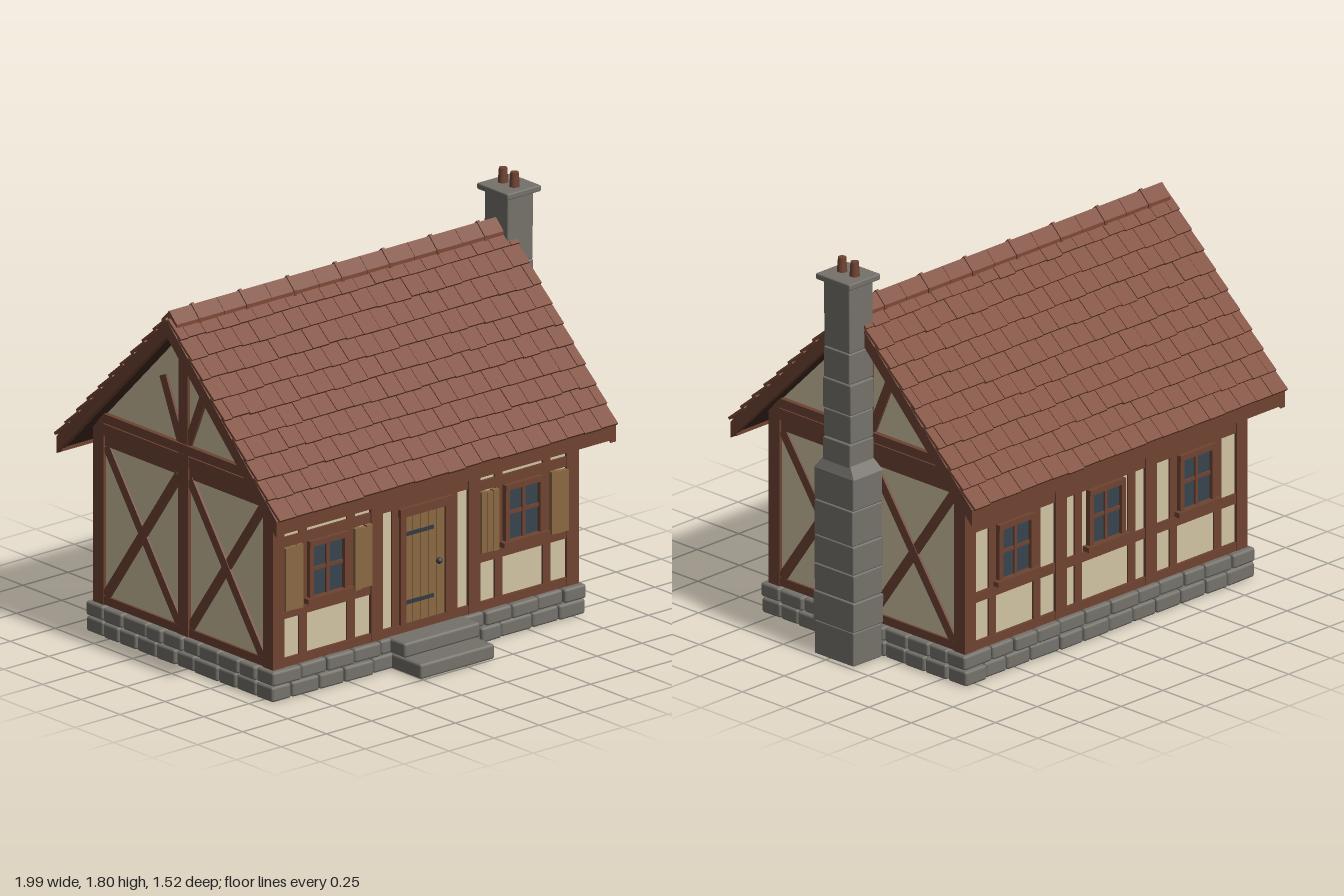
import * as THREE from 'three';
import { mergeGeometries } from 'three/addons/utils/BufferGeometryUtils.js';
import { RoundedBoxGeometry } from 'three/addons/geometries/RoundedBoxGeometry.js';

const mat = (name, color) => Object.assign(new THREE.MeshStandardMaterial({ color }), { name });
const M = {
  plaster: mat('cream plaster', 0xd2c4a2), timber: mat('red brown timber', 0x6f4332),
  tile: mat('roof tile', 0x7d4a37), deck: mat('dark roof deck', 0x432a20),
  stone: mat('grey stone', 0x75726b), glass: mat('window glass', 0x36444d),
  plank: mat('plank wood', 0x8a6842), iron: mat('dark iron', 0x343a3f),
  floor: mat('floor boards', 0x5c4229),
};
const HX = 0.848, HZ = 0.58;          // half size of the timber frame
const EAVE = 0.711, RIDGE = 1.565;    // roof half depth and apex, 45 degree pitch
const ROOF = 0.94;                    // roof half length

let seed = 7;
const rnd = (a) => { seed = (seed * 16807) % 2147483647; return (seed / 2147483647 - 0.5) * 2 * a; };

function add(parent, name, geometry, material) {
  const m = new THREE.Mesh(geometry, material);
  m.name = name;
  parent.add(m);
  return m;
}
function group(parent, name) {
  const g = new THREE.Group();
  g.name = name;
  parent.add(g);
  return g;
}
// Box given by its extents
function box(parent, name, material, x0, x1, y0, y1, z0, z1) {
  const m = add(parent, name, new THREE.BoxGeometry(x1 - x0, y1 - y0, z1 - z0), material);
  m.position.set((x0 + x1) / 2, (y0 + y1) / 2, (z0 + z1) / 2);
  return m;
}
function stone(x0, x1, y0, y1, z0, z1, tilt = 0, r = 0.012) {
  return new RoundedBoxGeometry(x1 - x0, y1 - y0, z1 - z0, 1, r)
    .rotateZ(rnd(tilt)).rotateX(rnd(tilt))
    .translate((x0 + x1) / 2, (y0 + y1) / 2, (z0 + z1) / 2);
}
// Slanted timber on a wall face
function brace(parent, x1, y1, x2, y2, w, z0, z1) {
  const len = Math.hypot(x2 - x1, y2 - y1);
  const m = add(parent, 'brace', new THREE.BoxGeometry(w, len, z1 - z0), M.timber);
  m.position.set((x1 + x2) / 2, (y1 + y2) / 2, (z0 + z1) / 2);
  m.rotation.z = -Math.atan2(x2 - x1, y2 - y1);
}
// Profile in (z, y) extruded along x between x0 and x1
function alongX(points, x0, x1) {
  const shape = new THREE.Shape(points.map(([z, y]) => new THREE.Vector2(-z, y)));
  return new THREE.ExtrudeGeometry(shape, { depth: x1 - x0, bevelEnabled: false })
    .rotateY(Math.PI / 2).translate(x0, 0, 0);
}
const chevron = (apex, half, t) => [[-half, apex - half], [0, apex], [half, apex - half],
  [half, apex - half - t], [0, apex - t], [-half, apex - half - t]];

function addWindow(wall, x, shutters) {
  const w = group(wall, 'window');
  w.position.x = x;
  box(w, 'glass', M.glass, -0.09, 0.09, 0.42, 0.66, 0.56, 0.57);
  for (const s of [-1, 1]) box(w, 'frameSide', M.timber, s * 0.096 - 0.011, s * 0.096 + 0.011, 0.41, 0.67, 0.55, 0.59);
  box(w, 'frameTop', M.timber, -0.107, 0.107, 0.645, 0.67, 0.55, 0.592);
  box(w, 'sill', M.timber, -0.128, 0.128, 0.398, 0.42, 0.55, 0.603);
  box(w, 'mullion', M.timber, -0.008, 0.008, 0.42, 0.65, 0.56, 0.58);
  box(w, 'glazingBar', M.timber, -0.09, 0.09, 0.532, 0.547, 0.56, 0.578);
  if (!shutters) return;
  for (const s of [-1, 1]) for (let i = 0; i < 3; i++) {
    const c = s * (0.16 + i * 0.033);
    box(w, 'shutterPlank', M.plank, c - 0.0155, c + 0.0155, 0.393 + rnd(0.006), 0.667 + rnd(0.006), 0.565, 0.59 + rnd(0.003));
  }
}

// Long wall facing local +z, with a door or a third window in the middle
function addLongWall(house, name, front) {
  const wall = group(house, name);
  const post = (x, w, y0, y1, z) => box(wall, 'post', M.timber, x - w / 2, x + w / 2, y0, y1, 0.54, z);
  const rail = (x0, x1, y0, y1) => box(wall, 'rail', M.timber, x0, x1, y0, y1, 0.54, 0.575);
  box(wall, 'sillBeam', M.timber, -0.8, 0.8, 0.137, 0.177, 0.54, 0.577);
  box(wall, 'topPlate', M.timber, -0.8, 0.8, 0.83, 0.9, 0.54, 0.577);
  for (const s of [-1, 1]) {
    post(s * 0.27, 0.065, 0.14, 0.9, 0.58);
    for (const d of [-0.133, 0.133]) post(s * 0.543 + d, 0.043, 0.17, 0.85, 0.573);
    post(s * 0.16, 0.043, 0.17, 0.85, 0.573);
    const [a, b] = s < 0 ? [-0.79, -0.3] : [0.3, 0.79];
    rail(a, b, 0.352, 0.396);
    rail(a, b, 0.672, 0.716);
    addWindow(wall, s * 0.543, front);
  }
  if (!front) {
    rail(-0.24, 0.24, 0.352, 0.396);
    rail(-0.24, 0.24, 0.672, 0.716);
    addWindow(wall, 0, false);
    return wall;
  }
  rail(-0.24, 0.24, 0.697, 0.74);
  const door = group(wall, 'door');
  for (let i = 0; i < 5; i++) {
    const x = -0.11 + i * 0.044;
    box(door, 'doorPlank', M.plank, x + 0.001, x + 0.043, 0.177, 0.66, 0.55, 0.572 + rnd(0.002));
  }
  for (const s of [-1, 1]) box(door, 'doorJamb', M.timber, s * 0.126 - 0.016, s * 0.126 + 0.016, 0.177, 0.66, 0.55, 0.583);
  box(door, 'doorHead', M.timber, -0.148, 0.148, 0.657, 0.695, 0.55, 0.59);
  for (const y of [0.27, 0.575]) box(door, 'hinge', M.iron, -0.107, 0.045, y - 0.008, y + 0.008, 0.57, 0.579);
  add(door, 'knob', new THREE.SphereGeometry(0.014, 10, 8), M.iron).position.set(0.07, 0.42, 0.585);
  return wall;
}

// Gable wall facing local +z
function addGable(house, name) {
  const g = group(house, name), f = HX;
  const beam = (n, half, y0, y1, z) => box(g, n, M.timber, -half, half, y0, y1, 0.81, z);
  beam('sillBeam', 0.53, 0.14, 0.178, f - 0.004);
  beam('lowerBeam', 0.51, 0.848, 0.893, f - 0.006);
  beam('middleBeam', 0.54, 0.895, 0.945, f - 0.002);
  beam('tieBeam', 0.555, 0.955, 0.996, f + 0.008);
  box(g, 'centrePost', M.timber, -0.033, 0.033, 0.14, 0.95, 0.81, f);
  box(g, 'kingPost', M.timber, -0.028, 0.028, 0.99, 1.49, 0.81, f);
  for (const s of [-1, 1]) {
    brace(g, s * 0.035, 0.18, s * 0.505, 0.845, 0.043, 0.82, f - 0.006);
    brace(g, s * 0.035, 0.845, s * 0.505, 0.18, 0.043, 0.82, f - 0.003);
    brace(g, s * 0.02, 0.99, s * 0.138, 1.265, 0.043, 0.82, f - 0.004);
  }
  return g;
}

function addRoof(house) {
  const roof = group(house, 'roof');
  add(roof, 'roofDeck', alongX(chevron(RIDGE, EAVE - 0.012, 0.066), -ROOF + 0.02, ROOF - 0.02), M.deck);
  for (const s of [-1, 1]) {
    add(roof, 'bargeBoard', alongX(chevron(RIDGE + 0.004, EAVE, 0.074), s * 0.925 - 0.015, s * 0.925 + 0.015), M.timber);
    box(roof, 'fascia', M.timber, -ROOF + 0.01, ROOF - 0.01, 0.795, 0.868, s * (EAVE - 0.012) - 0.012, s * (EAVE - 0.012) + 0.012);
    // Overlapping staggered tiles, laid from the eave up
    const tiles = [], pitch = 0.094;
    for (let row = 0; row < 10; row++) {
      for (let i = 0; i <= 20; i++) {
        const start = -ROOF + (i - (row % 2) * 0.5) * pitch;
        const x0 = Math.max(start + 0.0015, -ROOF), x1 = Math.min(start + pitch - 0.0015, ROOF);
        if (x1 - x0 < 0.01) continue;
        const low = 1.008 - row * 0.1 + rnd(0.004);
        const len = Math.min(0.118, low);
        tiles.push(new THREE.BoxGeometry(x1 - x0, 0.012, len).rotateX(-0.1)
          .translate((x0 + x1) / 2, 0.0125 + rnd(0.001), low - len / 2));
      }
    }
    const slope = add(roof, 'roofTiles', mergeGeometries(tiles), M.tile);
    slope.position.y = RIDGE;
    slope.rotation.set(Math.PI / 4, s > 0 ? 0 : Math.PI, 0, 'YXZ');
  }
  // Ridge caps with raised joints
  for (let i = 0; i < 7; i++) {
    const x0 = -0.925 + i * 0.264;
    add(roof, 'ridgeCap', alongX(chevron(1.607, 0.05, 0.035), x0, Math.min(x0 + 0.262, 0.93)), M.tile);
    add(roof, 'ridgeJoint', alongX(chevron(1.615, 0.054, 0.04), x0 + 0.12, x0 + 0.135), M.tile);
  }
}

function addFoundation(house) {
  const stones = [], courses = [[0.003, 0.071], [0.074, 0.138]];
  courses.forEach(([y0, y1], c) => {
    for (const [half, out, n, turn] of [[0.87, 0.602, 12, 0], [0.602, 0.87, 8, 1]]) {
      for (const s of [-1, 1]) {
        // The long sides own the corners
        const h = turn ? half - 0.11 : half, cuts = [];
        for (let i = 0; i <= n; i++) cuts.push(-h + (2 * h * i) / n + (i % n ? rnd(0.02) + (c - 0.5) * 0.03 : 0));
        for (let i = 0; i < n; i++) {
          const a = out + rnd(0.006);
          stones.push(stone(cuts[i] + 0.002, cuts[i + 1] - 0.002, y0, y1, a - 0.11, a, 0.012)
            .rotateY(turn * Math.PI / 2 + (s < 0 ? Math.PI : 0)));
        }
      }
    }
  });
  add(house, 'foundationStones', mergeGeometries(stones), M.stone);
  add(house, 'upperStep', stone(-0.21, 0.21, 0.074, 0.14, 0.55, 0.69), M.stone);
  add(house, 'lowerStep', stone(-0.205, 0.205, 0.004, 0.072, 0.58, 0.788), M.stone);
  for (let i = 0; i < 10; i++) {
    const z = -0.55 + i * 0.11;
    box(house, 'floorBoard', M.floor, -0.82, 0.82, 0.115, 0.137, z + 0.001, z + 0.109);
  }
  for (let i = 0; i < 5; i++) box(house, 'floorJoist', M.timber, -0.62 + i * 0.31 - 0.022, -0.62 + i * 0.31 + 0.022, 0.075, 0.116, -0.52, 0.52);
}

function addChimney(root) {
  const chimney = group(root, 'chimney');
  chimney.position.set(0.9, 0, -0.035);
  const stack = (levels, hx, hz) => {
    const parts = [];
    for (let i = 0; i < levels.length - 1; i++) {
      const a = hx + rnd(0.003), b = hz + rnd(0.004);
      parts.push(stone(-a, a, levels[i], levels[i + 1] - 0.002, -b, b, 0.01, 0.006));
    }
    return mergeGeometries(parts);
  };
  add(chimney, 'chimneyBase', stack([0.006, 0.16, 0.295, 0.42, 0.55, 0.71, 0.86], 0.088, 0.117), M.stone);
  add(chimney, 'chimneyStack', stack([0.88, 1.0, 1.13, 1.27, 1.41, 1.72], 0.07, 0.08), M.stone);
  // Tapered shoulder between base and stack
  const shoulder = new THREE.CylinderGeometry(Math.SQRT1_2, 1, 0.05, 4, 1).rotateY(Math.PI / 4);
  const p = shoulder.attributes.position;
  for (let i = 0; i < p.count; i++) {
    const top = p.getY(i) > 0;
    p.setX(i, Math.sign(Math.round(p.getX(i) * 10)) * (top ? 0.07 : 0.088));
    p.setZ(i, Math.sign(Math.round(p.getZ(i) * 10)) * (top ? 0.08 : 0.117));
  }
  const flat = shoulder.toNonIndexed();
  flat.computeVertexNormals();
  add(chimney, 'chimneyShoulder', flat, M.stone).position.y = 0.878;
  add(chimney, 'chimneyCap', stone(-0.092, 0.095, 1.71, 1.738, -0.1, 0.1, 0, 0.006), M.stone);
  for (const z of [-0.037, 0.037]) {
    add(chimney, 'chimneyPot', new THREE.CylinderGeometry(0.018, 0.023, 0.07, 12), M.timber).position.set(0, 1.767, z);
  }
}

export function createModel() {
  const root = new THREE.Group();
  root.name = 'cottage';
  const house = group(root, 'house');
  house.position.set(-0.0575, 0, -0.035);
  add(house, 'plasterWalls', alongX([[-0.565, 0.138], [-0.565, 0.95], [0, 1.515], [0.565, 0.95], [0.565, 0.138]], -0.833, 0.833), M.plaster);
  for (const sx of [-1, 1]) for (const sz of [-1, 1]) {
    const x = sx * (HX - 0.0325), z = sz * (HZ - 0.0325);
    box(house, 'cornerPost', M.timber, x - 0.0325, x + 0.0325, 0.138, 0.95, z - 0.0325, z + 0.0325);
  }
  addLongWall(house, 'frontWall', true);
  addLongWall(house, 'backWall', false).rotation.y = Math.PI;
  addGable(house, 'leftGable').rotation.y = Math.PI / 2;
  addGable(house, 'rightGable').rotation.y = -Math.PI / 2;
  addRoof(house);
  addFoundation(house);
  addChimney(root);
  return root;
}
